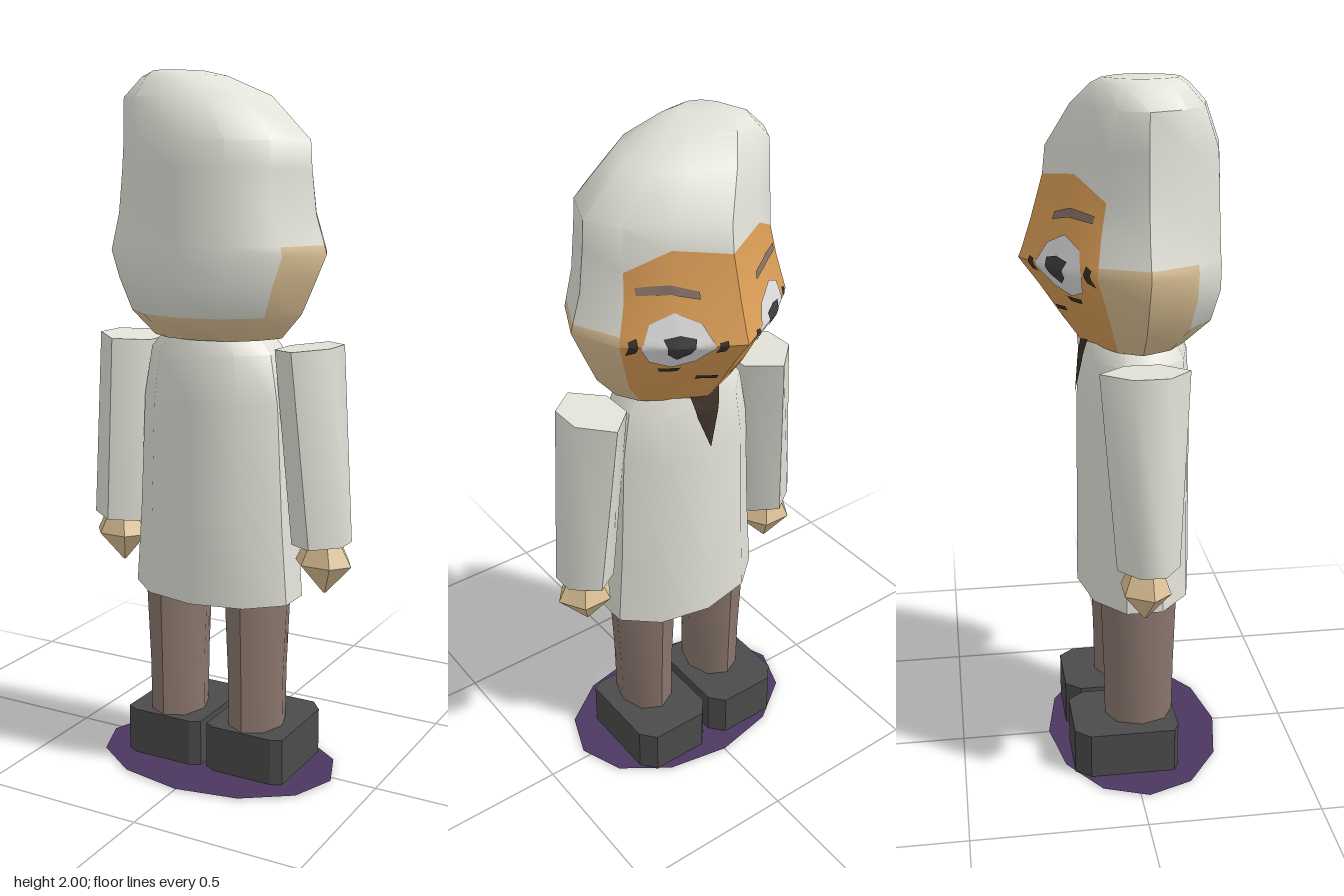
import * as THREE from 'three';
import { toCreasedNormals } from 'three/addons/utils/BufferGeometryUtils.js';

const mat = (name, color, double) => {
  const m = new THREE.MeshStandardMaterial({ color });
  m.name = name;
  if (double) m.side = THREE.DoubleSide;
  return m;
};
const ZC = 0.025; // depth of the body's middle line

// Unit ring of n corners, starting at the face side (-z) and turning towards +x
const ring = (n, turn = 0) => Array.from({ length: n }, (_, i) => {
  const t = ((i + turn) / n) * Math.PI * 2;
  return [Math.sin(t), -Math.cos(t)];
});

// Skin a stack of rows [y, xMin, xMax, zMin, zMax] around a unit ring, bottom row first
function loft(name, unit, rows, materials, { pick = () => 0, lift = () => 0, crease = 0.7 } = {}) {
  const n = unit.length, pos = [], faces = materials.map(() => []);
  rows.forEach(([y, x0, x1, z0, z1], i) => unit.forEach(([u, v], j) => {
    const zc = z0 < ZC && z1 > ZC ? ZC : (z0 + z1) / 2;
    pos.push((x0 + x1) / 2 + (u * (x1 - x0)) / 2, y + lift(i, j), v < 0 ? zc + v * (zc - z0) : zc + v * (z1 - zc));
  }));
  for (let i = 0; i < rows.length - 1; i++) for (let j = 0; j < n; j++) {
    const k = (j + 1) % n;
    const a = i * n + j, b = i * n + k, c = b + n, d = a + n;
    faces[pick(i, j)].push(a, d, c, a, c, b);
  }
  // Closing caps
  [0, rows.length - 1].forEach((i) => {
    const [y, x0, x1, z0, z1] = rows[i], mid = pos.length / 3;
    pos.push((x0 + x1) / 2, y, (z0 + z1) / 2);
    for (let j = 0; j < n; j++) {
      const a = i * n + j, b = i * n + ((j + 1) % n);
      faces[pick(i ? i - 1 : 0, 2)].push(mid, ...(i ? [b, a] : [a, b]));
    }
  });
  const g = new THREE.BufferGeometry();
  g.setAttribute('position', new THREE.Float32BufferAttribute(pos, 3));
  g.setIndex(faces.flat());
  let start = 0;
  faces.forEach((f, m) => { g.addGroup(start, f.length, m); start += f.length; });
  const mesh = new THREE.Mesh(toCreasedNormals(g, crease), materials);
  mesh.name = name;
  return mesh;
}

// Thin painted patch laid on the face side of a mesh; outline in x, y
function patch(name, target, outline, material, gap) {
  const area = outline.reduce((s, [x, y], i) => {
    const [X, Y] = outline[(i + 1) % outline.length];
    return s + x * Y - X * y;
  }, 0);
  const pts = area > 0 ? [...outline].reverse() : outline;
  const edge = [], SUB = 4, RINGS = 5;
  pts.forEach(([x, y], i) => {
    const [X, Y] = pts[(i + 1) % pts.length];
    for (let s = 0; s < SUB; s++) edge.push([x + ((X - x) * s) / SUB, y + ((Y - y) * s) / SUB]);
  });
  const n = edge.length, pos = [], index = [];
  const cx = edge.reduce((s, p) => s + p[0], 0) / n, cy = edge.reduce((s, p) => s + p[1], 0) / n;
  const ray = new THREE.Raycaster();
  const add = (x, y) => {
    ray.set(new THREE.Vector3(x, y, -2), new THREE.Vector3(0, 0, 1));
    const hit = ray.intersectObject(target)[0];
    pos.push(x, y, (hit ? hit.point.z : -0.12) - gap);
  };
  for (let r = 0; r <= RINGS; r++) edge.forEach(([x, y]) => add(cx + ((x - cx) * r) / RINGS, cy + ((y - cy) * r) / RINGS));
  for (let r = 0; r < RINGS; r++) for (let j = 0; j < n; j++) {
    const a = r * n + j, b = r * n + ((j + 1) % n);
    index.push(a, a + n, b + n);
    if (r) index.push(a, b + n, b);
  }
  const g = new THREE.BufferGeometry();
  g.setAttribute('position', new THREE.Float32BufferAttribute(pos, 3));
  g.setIndex(index);
  g.computeVertexNormals();
  const mesh = new THREE.Mesh(g, material);
  mesh.name = name;
  return mesh;
}

export function createModel() {
  const white = mat('hair and coat white', 0xe2e2d9);
  const skin = mat('pale skin', 0xdcc195);
  const faceTan = mat('face orange', 0xdd9f57);
  const trousers = mat('trouser brown', 0x8a766d);
  const shoeGrey = mat('shoe grey', 0x4b4b4b);
  const purple = mat('base purple', 0x4c3760, true);
  const eyeWhite = mat('eye white', 0xe0e0e0, true);
  const pupilGrey = mat('pupil grey', 0x3e3e3e, true);
  const browGrey = mat('brow grey', 0x8a7468, true);
  const dark = mat('beard brown', 0x3b3026, true);

  const model = new THREE.Group();
  model.name = 'figure';

  // Flat base disc
  const disc = new THREE.Mesh(new THREE.CircleGeometry(1, 12), purple);
  disc.name = 'baseDisc';
  disc.rotation.x = -Math.PI / 2;
  disc.scale.set(0.37, 0.26, 1);
  disc.position.set(0, 0.003, ZC);
  model.add(disc);

  // Coat
  const coat = loft('coat', ring(10), [
    [0.53, -0.26, 0.26, -0.14, 0.195],
    [0.75, -0.243, 0.243, -0.138, 0.193],
    [1.1, -0.225, 0.225, -0.136, 0.19],
    [1.24, -0.2, 0.2, -0.125, 0.18],
    [1.31, -0.14, 0.14, -0.11, 0.15],
  ], [white]);
  model.add(coat);
  model.add(patch('beard', coat, [[-0.05, 1.295], [0.05, 1.295], [0.035, 1.22], [0, 1.12], [-0.035, 1.22]], dark, 0.005));

  // Head: half ring from the nose ridge to the back, then mirrored
  const half = [[0, -1], [0.48, -0.71], [0.82, -0.42], [1, 0], [0.8, 0.55], [0.47, 0.88], [0, 1]];
  const headRing = [...half, ...half.slice(1, -1).reverse().map(([u, v]) => [-u, v])];
  const headRows = [
    [1.28, -0.2, 0.2, -0.125, 0.17],
    [1.35, -0.26, 0.26, -0.175, 0.25],
    [1.44, -0.3, 0.3, -0.235, 0.275],
    [1.515, -0.332, 0.332, -0.29, 0.272],
    [1.54, -0.325, 0.325, -0.28, 0.27],
    [1.62, -0.3, 0.3, -0.254, 0.268],
    [1.74, -0.286, 0.286, -0.22, 0.264],
    [1.815, -0.281, 0.281, -0.212, 0.26],
    [1.93, -0.285, 0.165, -0.15, 0.21],
    [1.985, -0.225, 0.03, -0.1, 0.155],
    [2.0, -0.19, -0.04, -0.075, 0.13],
  ];
  const side = (j) => (j > 5 ? 11 - j : j);
  const head = loft('head', headRing, headRows, [white, faceTan, skin], {
    crease: 0.75,
    // Face in front, pale cheeks at the sides, hair elsewhere
    pick: (i, j) => {
      const s = side(j);
      if (s < 2) return i < 6 ? 1 : 0;
      if (s < 4) return i < 4 ? 2 : 0;
      return i < 1 ? 2 : 0;
    },
    // Hairline rises over the eyes and drops at the temples
    lift: (i, j) => (i === 6 ? [0, 0.02, -0.04, 0, 0, 0, 0][j > 6 ? 12 - j : j] : 0),
  });
  model.add(head);

  for (const s of [1, -1]) {
    const tag = s > 0 ? 'left' : 'right';
    const flip = (pts) => pts.map(([x, y]) => [x * s, y]);
    const paint = (name, pts, m, gap) => model.add(patch(tag + name, head, flip(pts), m, gap));

    // Eyes, brows and dark marks on the face
    paint('EyeWhite', [[0.07, 1.51], [0.095, 1.575], [0.15, 1.605], [0.205, 1.575], [0.23, 1.51], [0.2, 1.46], [0.15, 1.44], [0.1, 1.46]], eyeWhite, 0.004);
    paint('Pupil', [[0.115, 1.54], [0.15, 1.55], [0.185, 1.54], [0.175, 1.495], [0.15, 1.475], [0.125, 1.495]], pupilGrey, 0.008);
    paint('Brow', [[0.09, 1.655], [0.15, 1.675], [0.22, 1.665], [0.22, 1.645], [0.15, 1.65], [0.09, 1.635]], browGrey, 0.004);
    paint('InnerLash', [[0.045, 1.53], [0.065, 1.525], [0.065, 1.49], [0.045, 1.495]], dark, 0.004);
    paint('OuterLash', [[0.236, 1.54], [0.255, 1.53], [0.255, 1.485], [0.236, 1.495]], dark, 0.004);
    paint('LowerLash', [[0.125, 1.435], [0.175, 1.435], [0.17, 1.422], [0.13, 1.422]], dark, 0.004);
    paint('Mouth', [[0.02, 1.385], [0.075, 1.392], [0.075, 1.38], [0.02, 1.372]], dark, 0.004);

    // Sleeve, swung slightly outwards
    const hex = [[-1, -0.4], [0, -1], [1, -0.4], [1, 0.4], [0, 1], [-1, 0.4]];
    const sleeve = loft(tag + 'Sleeve', hex, [
      [-0.552, -0.077, 0.077, -0.065, 0.11],
      [0, -0.083, 0.083, -0.105, 0.14],
    ], [white], { crease: 1.1 });
    sleeve.position.set(0.284 * s, 1.262, 0);
    sleeve.rotation.z = 0.082 * s;
    model.add(sleeve);

    // Hand, a small pointed gem shape
    const hand = loft(tag + 'Hand', ring(6, 0.5), [
      [0.565, -0.004, 0.004, 0.008, 0.016],
      [0.655, -0.086, 0.086, -0.062, 0.086],
      [0.72, -0.05, 0.05, -0.035, 0.06],
    ], [skin], { crease: 0.6 });
    hand.position.x = 0.335 * s;
    model.add(hand);

    // Trouser leg
    const leg = loft(tag + 'Leg', ring(8), [
      [0.12, -0.081, 0.081, -0.075, 0.127],
      [0.3, -0.083, 0.083, -0.078, 0.13],
      [0.56, -0.095, 0.095, -0.087, 0.138],
    ], [trousers], { crease: 0.9 });
    leg.position.x = 0.131 * s;
    model.add(leg);

    // Shoe, a block with clipped corners
    const block = [[-0.7, -1], [0.7, -1], [1, -0.78], [1, 0.85], [0.75, 1], [-0.75, 1], [-1, 0.85], [-1, -0.78]];
    const shoe = loft(tag + 'Shoe', block, [
      [0, -0.124, 0.124, -0.176, 0.132],
      [0.14, -0.124, 0.124, -0.176, 0.132],
    ], [shoeGrey], { crease: 0.3 });
    shoe.position.x = 0.134 * s;
    model.add(shoe);
  }
  return model;
}
